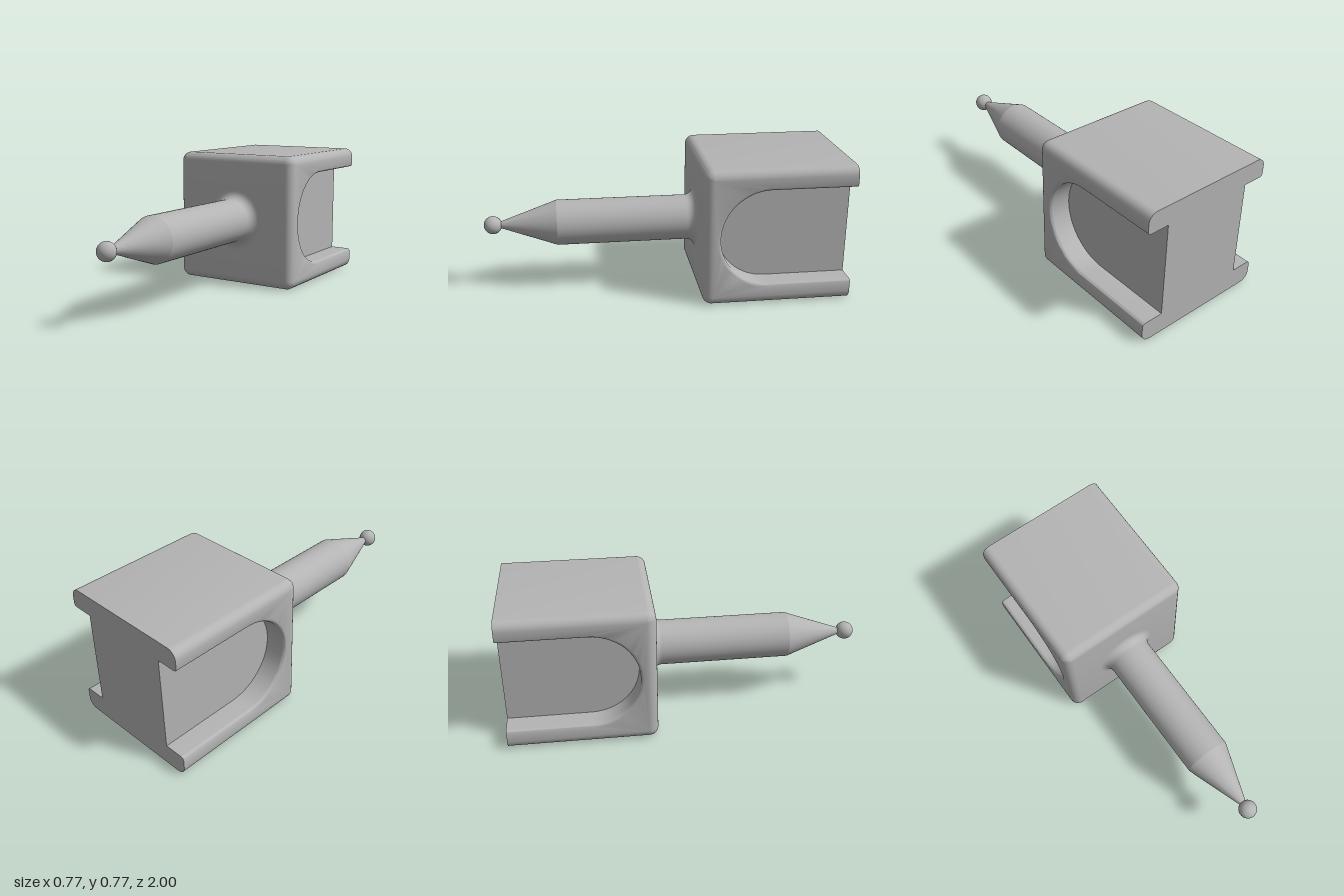
import * as THREE from 'three';
import { toCreasedNormals } from 'three/addons/utils/BufferGeometryUtils.js';

const MID = 0.385; // half width of the block and height of the axis
const BACK = -1;
const FRONT = -0.18;

// U-shaped path at one x: back top, round the front, back bottom
function uLoop(x, y0, y1, zFront, r) {
  const pts = [[x, y1, BACK]];
  const n = 14;
  for (const [cy, start] of [[y1 - r, Math.PI / 2], [y0 + r, 0]]) {
    for (let i = 0; i <= n; i++) {
      const a = start - (i / n) * Math.PI / 2;
      pts.push([x, cy + r * Math.sin(a), zFront - r + r * Math.cos(a)]);
    }
  }
  pts.push([x, y0, BACK]);
  return pts;
}

// Loops of one half of the block, from the pocket floor out to the flat top
function halfLoops() {
  const loops = [];
  const round = 0.05, lip = 0.018, floorX = 0.26, steps = 6;
  const pocket = (x, grow) =>
    loops.push(uLoop(x, 0.118 - grow, 0.657 + grow, -0.27 + grow, 0.2695 + grow));
  loops.push(uLoop(floorX, MID, MID, -0.5395, 0)); // floor centre line
  pocket(floorX, 0);
  for (let i = 0; i <= steps; i++) { // softened pocket lip
    const a = (i / steps) * Math.PI / 2;
    pocket(MID - lip + lip * Math.sin(a), lip * (1 - Math.cos(a)));
  }
  for (let i = 0; i <= steps; i++) { // rounded outer edge
    const a = (i / steps) * Math.PI / 2;
    const inset = round * (1 - Math.sin(a));
    loops.push(uLoop(MID - round + round * Math.cos(a),
      inset, 2 * MID - inset, FRONT - inset, round - inset));
  }
  return loops;
}

function blockLoops() {
  const right = halfLoops();
  const left = right.map(l => l.map(([x, y, z]) => [-x, y, z])).reverse();
  return [...right, ...left];
}

// Skin between neighbouring loops
function skin(loops) {
  const rows = loops[0].length;
  const index = [];
  for (let i = 0; i < loops.length - 1; i++) {
    for (let j = 0; j < rows - 1; j++) {
      const a = i * rows + j, b = a + rows;
      index.push(a, b, a + 1, b, b + 1, a + 1);
    }
  }
  const geo = new THREE.BufferGeometry();
  geo.setAttribute('position', new THREE.Float32BufferAttribute(loops.flat(2), 3));
  geo.setIndex(index);
  return toCreasedNormals(geo, 0.6);
}

// Flat I-shaped back, made from the loop ends
function backCap(loops) {
  const used = loops.slice(1, -1);
  const end = used[0].length - 1;
  const outline = [
    ...used.map(l => l[0]),
    ...used.map(l => l[end]).reverse(),
  ].map(([x, y]) => new THREE.Vector2(x, y));
  const geo = new THREE.ShapeGeometry(new THREE.Shape(outline));
  geo.rotateY(Math.PI);
  geo.translate(0, 0, BACK);
  return geo;
}

// Round post with a filleted root and a tapered point
function postGeometry() {
  const r = 0.127, fillet = 0.05, pts = [];
  for (let i = 0; i <= 8; i++) {
    const a = (i / 8) * Math.PI / 2;
    pts.push(new THREE.Vector2(r + fillet - fillet * Math.sin(a),
      FRONT + fillet - fillet * Math.cos(a)));
  }
  pts.push(new THREE.Vector2(r, 0.595), new THREE.Vector2(0.016, 0.915));
  const geo = new THREE.LatheGeometry(pts, 48);
  geo.rotateX(Math.PI / 2);
  return toCreasedNormals(geo, 0.3);
}

export function createModel() {
  const group = new THREE.Group();
  const grey = new THREE.MeshStandardMaterial({ color: 0xb4b4b4 });
  grey.name = 'grey';
  const add = (name, geo, y = 0, z = 0) => {
    const mesh = new THREE.Mesh(geo, grey);
    mesh.name = name;
    mesh.position.set(0, y, z);
    group.add(mesh);
  };

  const loops = blockLoops();
  add('block', skin(loops));
  add('blockBack', backCap(loops));
  add('post', postGeometry(), MID);
  add('ballTip', new THREE.SphereGeometry(0.05, 32, 20), MID, 0.95);
  return group;
}
